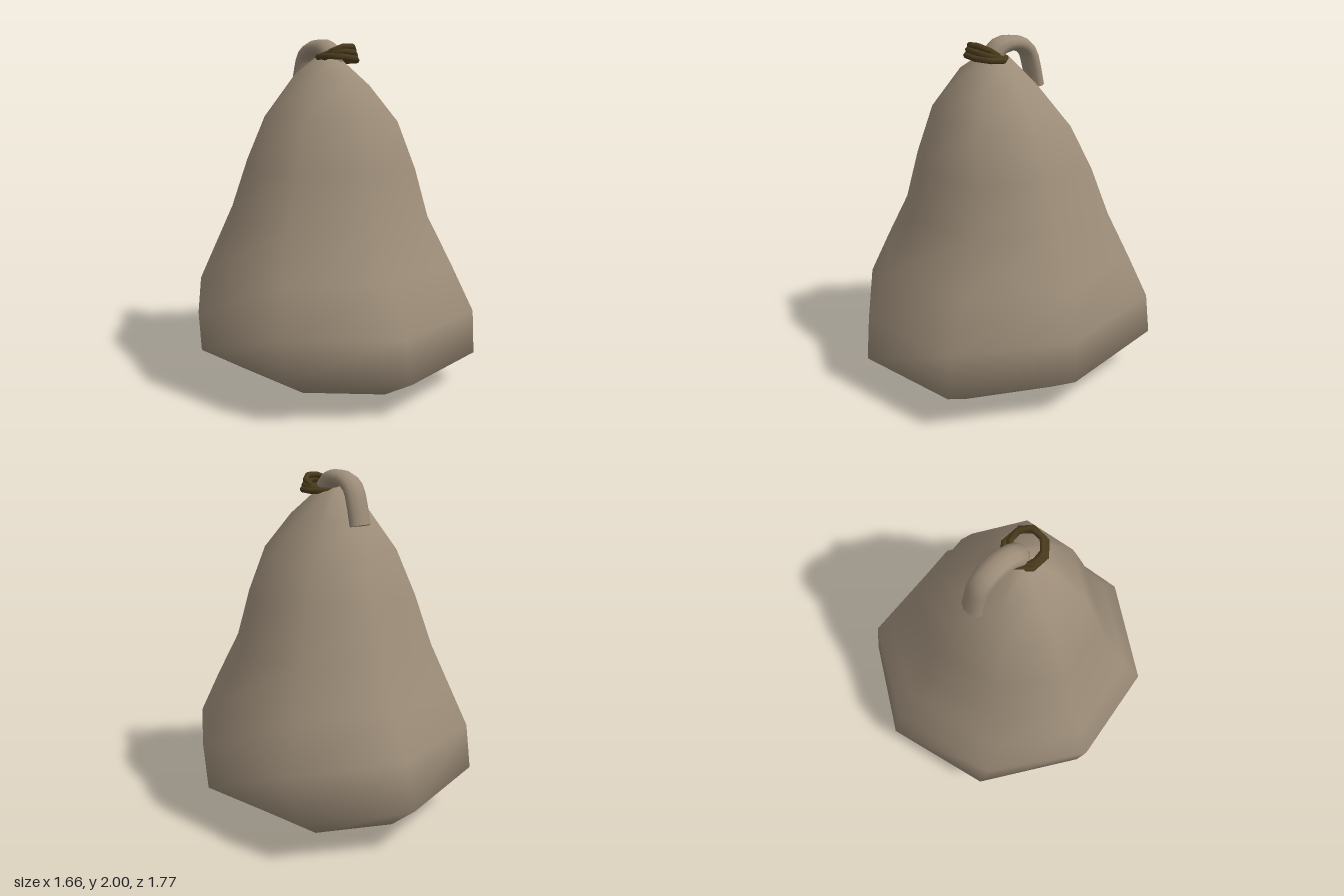
import * as THREE from 'three';

const cloth = new THREE.MeshStandardMaterial({ color: 0x9c8c78 });
cloth.name = 'sackcloth';
const cord = new THREE.MeshStandardMaterial({ color: 0x4a3b1c });
cord.name = 'dark cord';

// Smooth skin over equal-sized rings of points, closed by a point at each end.
function loft(rings, first, last) {
  const n = rings[0].length;
  const points = [...rings.flat(), first, last];
  const a0 = points.length - 2, a1 = points.length - 1;
  const index = [];
  for (let j = 0; j < n; j++) {
    const k = (j + 1) % n;
    for (let i = 0; i < rings.length - 1; i++) {
      const a = i * n + j, b = i * n + k;
      index.push(a, a + n, b, b, a + n, b + n);
    }
    const top = (rings.length - 1) * n;
    index.push(a0, j, k, a1, top + k, top + j);
  }
  const geometry = new THREE.BufferGeometry().setFromPoints(points);
  geometry.setIndex(index);
  geometry.computeVertexNormals();
  return geometry;
}

function add(group, name, geometry, material) {
  const mesh = new THREE.Mesh(geometry, material);
  mesh.name = name;
  group.add(mesh);
  return mesh;
}

// Slumped eight-sided sack, each ring tilted a little differently
function sackGeometry() {
  const outline = [
    [0.15, -0.89], [0.71, -0.595], [0.83, 0.135], [0.505, 0.765],
    [-0.14, 0.885], [-0.70, 0.515], [-0.83, -0.13], [-0.50, -0.70],
  ];
  // height, x scale, z scale, x shift, z shift, slope along x, slope along z
  const profile = [
    [0.067, 0.665, 0.73, 0.015, -0.02, -0.035, -0.03], [0.238, 0.975, 1, 0.008, 0, -0.025, -0.034],
    [0.485, 1, 0.945, 0, 0.02, -0.015, -0.04], [0.735, 0.885, 0.79, 0, 0.01, -0.01, -0.025],
    [0.995, 0.735, 0.645, -0.005, 0, 0, -0.01], [1.28, 0.62, 0.55, 0, 0.015, -0.03, -0.005],
    [1.545, 0.48, 0.435, 0, 0.025, -0.08, 0.04], [1.755, 0.265, 0.265, 0.01, 0.02, -0.25, 0.1],
    [1.89, 0.095, 0.085, 0, 0.035, -0.22, 0],
  ];
  const rings = profile.map(([y, sx, sz, dx, dz, tiltX, tiltZ]) => outline.map(([x, z]) =>
    new THREE.Vector3(x * sx + dx, y + tiltX * x * sx + tiltZ * z * sz, z * sz + dz)));
  return loft(rings, new THREE.Vector3(0.01, 0, -0.02), new THREE.Vector3(0, 1.91, 0.04));
}

// Gathered cloth end, rising forward of centre and folded over backwards
function neckGeometry() {
  const path = new THREE.CatmullRomCurve3([
    [0, 1.865, 0.06], [0, 1.905, 0.055], [0.005, 1.943, 0.01], [0.01, 1.955, -0.05],
    [0.01, 1.947, -0.125], [0.01, 1.905, -0.187], [0.01, 1.82, -0.22], [0.01, 1.7, -0.25],
  ].map((p) => new THREE.Vector3(...p)));
  const across = new THREE.Vector3(1, 0, 0);
  const rings = [];
  for (let i = 0; i <= 12; i++) {
    const u = i / 12;
    const centre = path.getPointAt(u);
    const side = new THREE.Vector3().crossVectors(across, path.getTangentAt(u)).normalize();
    const depth = 0.045 + 0.02 * Math.max(0, 1 - u * 3);
    rings.push(Array.from({ length: 10 }, (_, j) => {
      const t = (j / 10) * Math.PI * 2;
      return centre.clone().addScaledVector(across, 0.067 * Math.cos(t))
        .addScaledVector(side, depth * Math.sin(t));
    }));
  }
  // repeated last ring keeps the cut end sharp
  rings.push(rings[12].map((p) => p.clone()));
  return loft(rings, path.getPointAt(0), path.getPointAt(1));
}

export function createModel() {
  const group = new THREE.Group();
  group.name = 'tied sack';
  add(group, 'sack', sackGeometry(), cloth);
  add(group, 'foldedNeck', neckGeometry(), cloth);

  // Loose cord wound round the neck: height, z, tilt, roll, radius
  const tie = new THREE.Group();
  tie.name = 'neckCord';
  [
    [1.892, 0.107, -0.06, -0.12, 0.115],
    [1.907, 0.117, -0.25, -0.1, 0.098],
    [1.916, 0.12, -0.52, 0.03, 0.092],
  ].forEach(([y, z, tilt, roll, radius], i) => {
    const geometry = new THREE.TorusGeometry(radius, 0.018, 6, 8);
    geometry.rotateZ(Math.PI / 8).rotateX(Math.PI / 2);
    const coil = add(tie, `cordCoil${i + 1}`, geometry, cord);
    coil.position.set(0.003, y, z);
    coil.rotation.set(tilt, 0, roll);
  });
  group.add(tie);
  return group;
}
